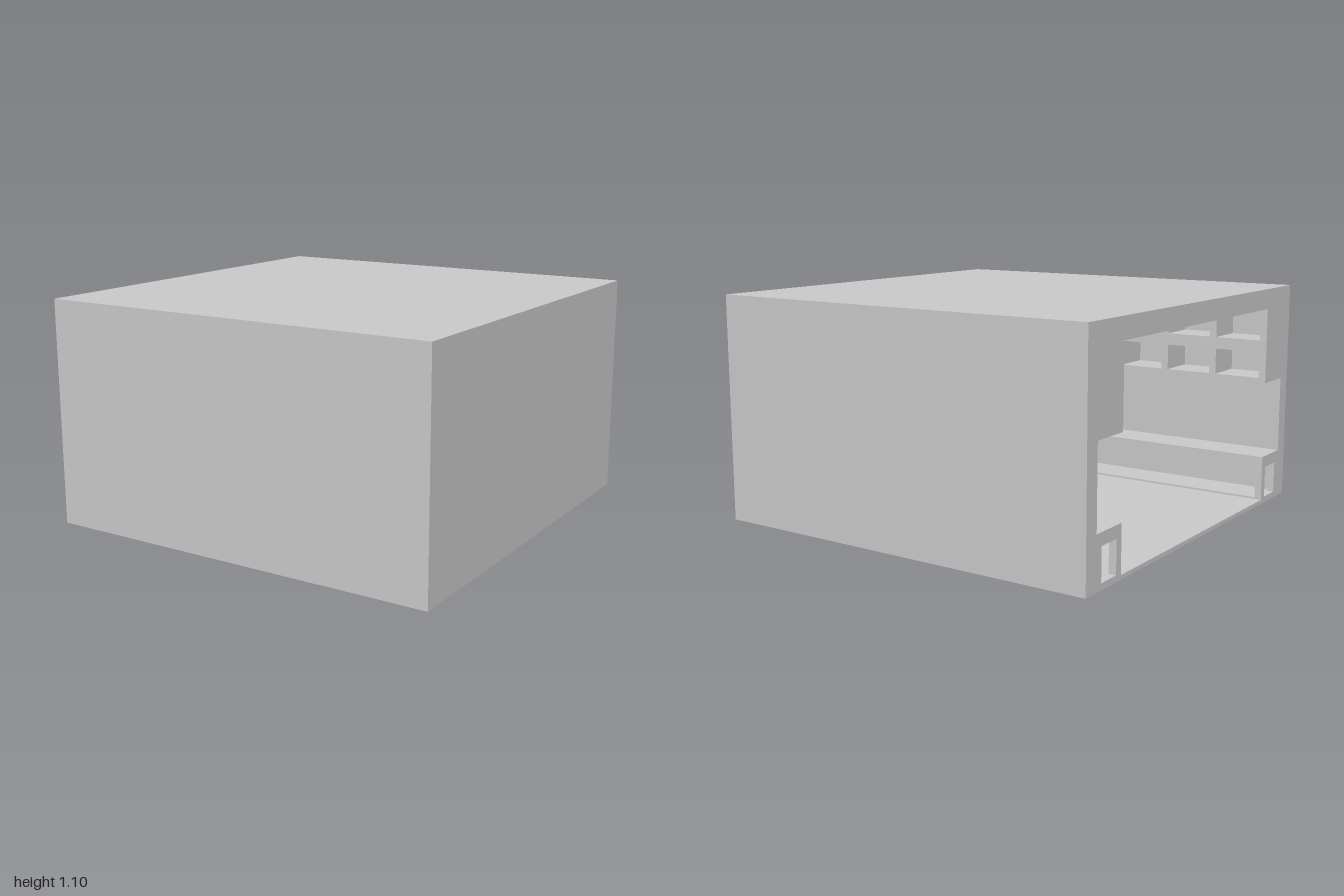
import * as THREE from 'three';

const material = new THREE.MeshStandardMaterial({ color: 0xcccccc, flatShading: true });

const H = 1.1;        // overall height
const WALL = 0.92;    // inner face of the long walls
const INNER = 0.72;   // inner face of the side rails and racks
const END = 0.96;     // inner face of the closed end
const FLOOR = 0.02;
const CEILING = 1.0;
const POST = 0.036;

function rect(Type, a0, b0, a1, b1) {
  const s = new Type();
  s.moveTo(a0, b0);
  s.lineTo(a1, b0);
  s.lineTo(a1, b1);
  s.lineTo(a0, b1);
  s.closePath();
  return s;
}

function part(parent, name, geometry) {
  const mesh = new THREE.Mesh(geometry, material);
  mesh.name = name;
  parent.add(mesh);
  return mesh;
}

function block(x0, x1, y0, y1, z0, z1) {
  return new THREE.BoxGeometry(x1 - x0, y1 - y0, z1 - z0)
    .translate((x0 + x1) / 2, (y0 + y1) / 2, (z0 + z1) / 2);
}

// Extrude a (z, y) profile along x, between x0 and x1
function alongX(shape, x0, x1) {
  return new THREE.ExtrudeGeometry(shape, { depth: x1 - x0, bevelEnabled: false })
    .rotateY(-Math.PI / 2).translate(x1, 0, 0);
}

// Upper rack: two rows of seven pockets, open towards the middle
function rackGeometry() {
  const shape = rect(THREE.Shape, -1, 0.626, END, CEILING);
  const columns = 7;
  const pitch = (1 + END - POST) / columns;
  for (let i = 0; i < columns; i++) {
    const x0 = -1 + POST + i * pitch;
    const x1 = x0 + pitch - POST;
    shape.holes.push(rect(THREE.Path, x0, 0.65, x1, 0.78));
    shape.holes.push(rect(THREE.Path, x0, 0.84, x1, 0.96));
  }
  return new THREE.ExtrudeGeometry(shape, { depth: WALL - INNER, bevelEnabled: false })
    .translate(0, 0, INNER);
}

// Hollow lower rail: framed ends, a top slab and a thin sole
function buildRail() {
  const rail = new THREE.Group();
  rail.name = 'lowerRail';
  const frame = rect(THREE.Shape, INNER, FLOOR, WALL, 0.245);
  frame.holes.push(rect(THREE.Path, 0.76, 0.03, 0.88, 0.186));
  part(rail, 'railOpenEndFrame', alongX(frame, -1, -1 + POST));
  part(rail, 'railFarEndFrame', alongX(frame, END - POST, END));
  part(rail, 'railTop', block(-1 + POST, END - POST, 0.186, 0.245, INNER, WALL));
  part(rail, 'railSole', block(-1 + POST, END - POST, FLOOR, 0.03, INNER, WALL));
  return rail;
}

export function createModel() {
  const model = new THREE.Group();
  model.name = 'openEndedCase';

  // Outer sleeve, open at -x
  const sleeve = rect(THREE.Shape, -1, 0, 1, H);
  sleeve.holes.push(rect(THREE.Path, -WALL, FLOOR, WALL, CEILING));
  part(model, 'sleeve', alongX(sleeve, -1, END));
  part(model, 'closedEnd', block(END, 1, 0, H, -1, 1));

  // Matching rail and rack along both long walls
  for (const side of [1, -1]) {
    const fittings = new THREE.Group();
    fittings.name = side > 0 ? 'frontFittings' : 'backFittings';
    part(fittings, 'upperRack', rackGeometry());
    fittings.add(buildRail());
    fittings.scale.z = side;
    model.add(fittings);
  }
  return model;
}
